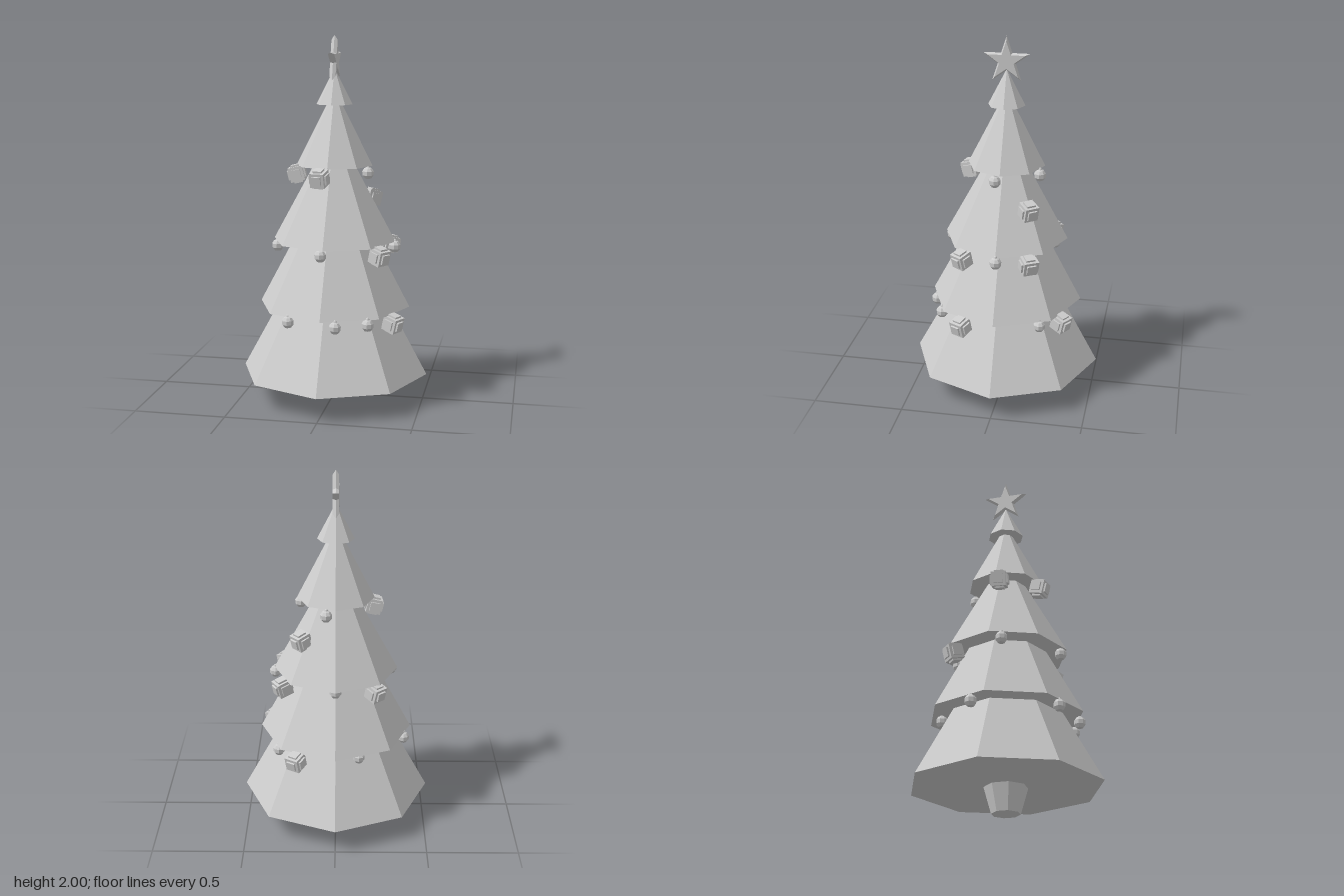
import * as THREE from 'three';

const grey = new THREE.MeshStandardMaterial({ color: 0xcccccc, flatShading: true });
grey.name = 'plain grey';

function add(parent, name, geometry, x = 0, y = 0, z = 0) {
  const mesh = new THREE.Mesh(geometry, grey);
  mesh.name = name;
  mesh.position.set(x, y, z);
  parent.add(mesh);
  return mesh;
}

// Five-pointed star in the yz plane: thin rim at the middle, smaller flat faces each side
function starGeometry(radius, inner, halfThickness, faceScale) {
  const n = 10, pos = [], idx = [];
  const loops = [[-halfThickness, faceScale], [0, 1], [halfThickness, faceScale]];
  for (const [x, s] of loops) {
    for (let i = 0; i < n; i++) {
      const a = i * Math.PI * 2 / n, r = (i % 2 ? inner : radius) * s;
      pos.push(x, Math.cos(a) * r, Math.sin(a) * r);
    }
  }
  pos.push(-halfThickness, 0, 0, halfThickness, 0, 0);
  for (let i = 0; i < n; i++) {
    const j = (i + 1) % n;
    for (let k = 0; k < 2; k++) {
      const a = k * n + i, b = k * n + j;
      idx.push(a, b, b + n, a, b + n, a + n);
    }
    idx.push(3 * n, j, i, 3 * n + 1, 2 * n + i, 2 * n + j);
  }
  const g = new THREE.BufferGeometry();
  g.setAttribute('position', new THREE.Float32BufferAttribute(pos, 3));
  g.setIndex(idx);
  const flat = g.toNonIndexed();
  flat.computeVertexNormals();
  return flat;
}

// Low-poly bauble with a small pointed cap
const baubleGeometry = new THREE.LatheGeometry([
  [0, -0.034], [0.018, -0.031], [0.031, -0.014], [0.032, 0.008],
  [0.021, 0.024], [0.011, 0.029], [0.008, 0.037], [0, 0.041],
].map(([x, y]) => new THREE.Vector2(x, y)), 8);

const boxGeometry = new THREE.BoxGeometry(0.08, 0.08, 0.08);
const ribbonGeometries = [
  new THREE.BoxGeometry(0.1, 0.05, 0.05),
  new THREE.BoxGeometry(0.05, 0.1, 0.05),
  new THREE.BoxGeometry(0.05, 0.05, 0.1),
];

// Gift box with a raised panel on every side, leaning outwards from the tree
function makeGift(x, y, z) {
  const gift = new THREE.Group();
  gift.name = 'giftBox';
  add(gift, 'giftCore', boxGeometry);
  for (const ribbon of ribbonGeometries) add(gift, 'giftRibbon', ribbon);
  gift.position.set(x, y, z);
  gift.rotation.set(0.25, Math.atan2(x, z), 0, 'YXZ');
  return gift;
}

export function createModel() {
  const tree = new THREE.Group();
  tree.name = 'decoratedTree';

  // Trunk, narrowing towards the ground
  add(tree, 'trunk', new THREE.CylinderGeometry(0.12, 0.077, 0.15, 8), 0, 0.075, 0)
    .rotation.y = Math.PI / 8;

  // Foliage tiers: bottom height, top height, bottom radius, top radius
  const tiers = [
    [0.14, 0.525, 0.52, 0.31],
    [0.522, 0.888, 0.42, 0.225],
    [0.885, 1.303, 0.34, 0.112],
    [1.3, 1.633, 0.21, 0.04],
    [1.63, 1.82, 0.1, 0.002],
  ];
  for (const [y0, y1, r0, r1] of tiers) {
    add(tree, 'foliageTier', new THREE.CylinderGeometry(r1, r0, y1 - y0, 8), 0, (y0 + y1) / 2, 0);
  }

  // Star on the tip
  add(tree, 'star', starGeometry(0.132, 0.051, 0.017, 0.8), 0, 1.868, 0);

  // Baubles hanging under the tier edges
  const baubles = [
    [-0.38, 0.49, -0.08], [-0.19, 0.495, 0.335], [0.075, 0.49, 0.385],
    [0.238, 0.495, 0.32], [0.31, 0.495, -0.235], [-0.127, 0.49, -0.315],
    [-0.308, 0.855, 0.06], [-0.018, 0.855, 0.31], [0.335, 0.86, 0], [0, 0.86, -0.27],
    [0.19, 1.265, 0.03], [0.05, 1.265, -0.19],
  ];
  for (const p of baubles) add(tree, 'bauble', baubleGeometry, ...p);

  // Gift boxes
  const gifts = [
    [0.355, 0.475, 0.19], [0.215, 0.475, -0.34],
    [0.28, 0.84, 0.195], [0.288, 0.84, -0.17], [-0.215, 0.84, -0.23],
    [0.185, 1.105, -0.15],
    [-0.205, 1.25, 0.02], [-0.043, 1.25, 0.205],
  ];
  for (const p of gifts) tree.add(makeGift(...p));

  return tree;
}
